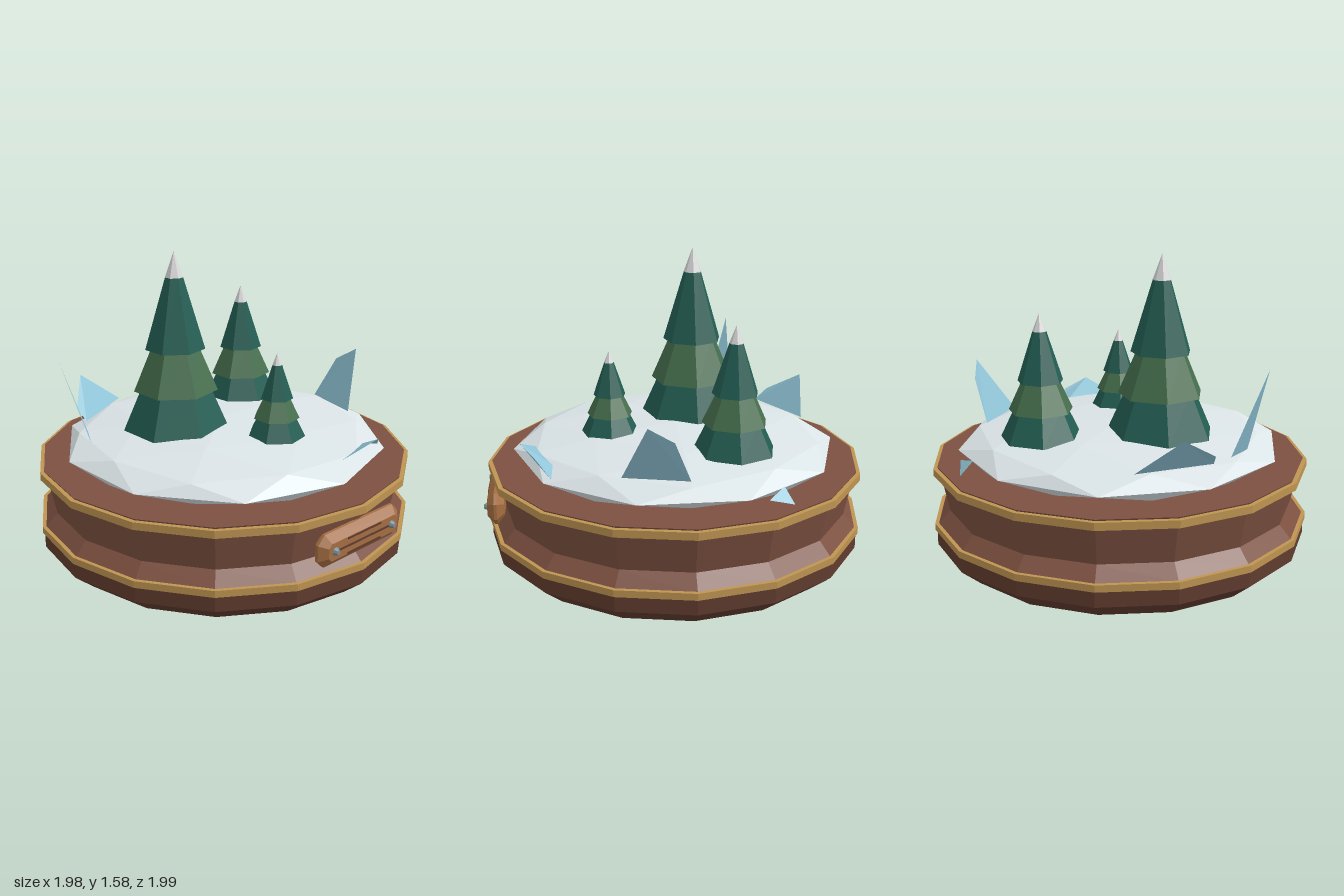
import * as THREE from 'three';

const mat = (name, color, extra = {}) => Object.assign(new THREE.MeshStandardMaterial({ color, ...extra }), { name });

export function createModel() {
  const model = new THREE.Group();
  const wood = mat('wood', 0x7c5040);
  const darkWood = mat('darkWood', 0x613c2f);
  const gold = mat('gold', 0xbf9552);
  const snow = mat('snow', 0xdae3e6);
  const darkGreen = mat('darkGreen', 0x235e53);
  const lightGreen = mat('lightGreen', 0x466f4e);
  const frost = mat('frost', 0xdcdcdc);
  const ice = mat('ice', 0x90c4d7, { side: THREE.DoubleSide });
  const copper = mat('copper', 0xa56e42);
  const steel = mat('steel', 0x7d8f98);

  // Faceted mesh: every face keeps its own normal
  function add(name, geometry, material, parent = model) {
    const g = geometry.index ? geometry.toNonIndexed() : geometry;
    g.computeVertexNormals();
    const mesh = new THREE.Mesh(g, material);
    mesh.name = name;
    parent.add(mesh);
    return mesh;
  }

  // Turned base: sixteen-sided rings around a centre slightly behind the origin
  const base = new THREE.Group();
  base.name = 'base';
  base.position.z = -0.01;
  model.add(base);
  const turn = (name, profile, material) =>
    add(name, new THREE.LatheGeometry(profile.map(p => new THREE.Vector2(...p)), 16), material, base);
  turn('foot', [[0, 0], [0.875, 0], [0.98, 0.09], [0.98, 0.18]], darkWood);
  turn('drum', [[0.975, 0.2], [0.91, 0.27], [0.95, 0.47], [0.965, 0.51], [0, 0.51]], wood);
  const band = (name, inner, outer, y0, y1) =>
    turn(name, [[inner, y0], [outer, y0], [outer, y1], [inner, y1]], gold);
  band('lowerBand', 0.9, 0.99, 0.17, 0.205);
  band('upperBand', 0.9, 0.985, 0.465, 0.503);

  // Snow mound: squashed icosphere with a vertex at the top
  const mound = new THREE.IcosahedronGeometry(1, 1);
  mound.rotateZ(-Math.atan2(1, (1 + Math.sqrt(5)) / 2));
  mound.scale(0.85, 0.12, 0.85);
  mound.translate(0, 0.57, -0.01);
  add('snowMound', mound, snow);

  // Trees: stacked seven-sided tiers; radii and heights are fractions of the whole
  const tiers = [
    ['lowerBranches', 1, 0, 0.62, 0.26, darkGreen],
    ['middleBranches', 0.79, 0.225, 0.43, 0.48, lightGreen],
    ['upperBranches', 0.56, 0.46, 0.165, 0.86, darkGreen],
    ['frostedTip', 0.17, 0.858, 0, 1, frost],
  ];
  function tree(name, x, z, radius, y0, y1) {
    const group = new THREE.Group();
    group.name = name;
    group.position.set(x, y0, z);
    const h = y1 - y0;
    for (const [part, r0, a, r1, b, material] of tiers) {
      const g = new THREE.CylinderGeometry(r1 * radius, r0 * radius, (b - a) * h, 7);
      g.rotateY(Math.PI / 2);
      g.translate(0, (a + b) / 2 * h, 0);
      add(part, g, material, group);
    }
    model.add(group);
  }
  tree('tallTree', -0.225, -0.13, 0.28, 0.66, 1.58);
  tree('mediumTree', 0.37, -0.27, 0.21, 0.655, 1.295);
  tree('smallTree', 0.048, 0.333, 0.15, 0.665, 1.1);

  // Ice shards: thin slivers standing in the snow, each a fan of triangles
  const shards = {
    leftShard: [[-0.76, 1.07, -0.4], [-0.59, 0.63, -0.41], [-0.67, 0.63, -0.27]],
    backShard: [[-0.38, 0.82, -0.77], [-0.52, 0.7, -0.61], [-0.51, 0.64, -0.54], [-0.15, 0.64, -0.73]],
    rightShard: [[0.82, 0.94, 0.2], [0.64, 0.64, 0.31], [0.72, 0.64, -0.01], [0.8, 0.86, 0.075]],
    frontShard: [[0.3, 0.705, 0.79], [0.11, 0.62, 0.72], [0.39, 0.6, 0.605], [0.49, 0.585, 0.64], [0.41, 0.655, 0.71]],
    rimShard: [[0.68, 0.58, -0.46], [0.77, 0.55, -0.37], [0.74, 0.51, -0.5]],
  };
  for (const [name, pts] of Object.entries(shards)) {
    const v = [];
    for (let i = 1; i < pts.length - 1; i++) v.push(...pts[0], ...pts[i], ...pts[i + 1]);
    const g = new THREE.BufferGeometry();
    g.setAttribute('position', new THREE.Float32BufferAttribute(v, 3));
    add(name, g, ice);
  }

  // Front plaque: bevelled plate with clipped corners
  const plaque = new THREE.Group();
  plaque.name = 'plaque';
  plaque.position.set(0, 0.338, 0);
  model.add(plaque);
  const w = 0.25, h = 0.045, c = 0.02;
  const outline = new THREE.Shape([
    [-w + c, -h], [w - c, -h], [w, -h + c], [w, h - c], [w - c, h], [-w + c, h], [-w, h - c], [-w, -h + c],
  ].map(p => new THREE.Vector2(...p)));
  const plate = new THREE.ExtrudeGeometry(outline, {
    depth: 0.015, bevelEnabled: true, bevelSize: 0.038, bevelThickness: 0.035, bevelSegments: 1,
  });
  plate.translate(0, 0, 0.923);
  add('plate', plate, copper, plaque);

  // Engraved bars and rivets
  for (const [y, length, z] of [[0.038, 0.24, 0.973], [0, 0.36, 0.973], [-0.038, 0.24, 0.973]]) {
    add('bar', new THREE.BoxGeometry(length, 0.009, 0.008), darkWood, plaque).position.set(0, y, z);
  }
  for (const x of [-0.205, 0.205]) {
    const rivet = new THREE.CylinderGeometry(0.012, 0.022, 0.02, 8);
    rivet.rotateX(Math.PI / 2);
    add('rivet', rivet, steel, plaque).position.set(x, 0, 0.982);
  }
  return model;
}
